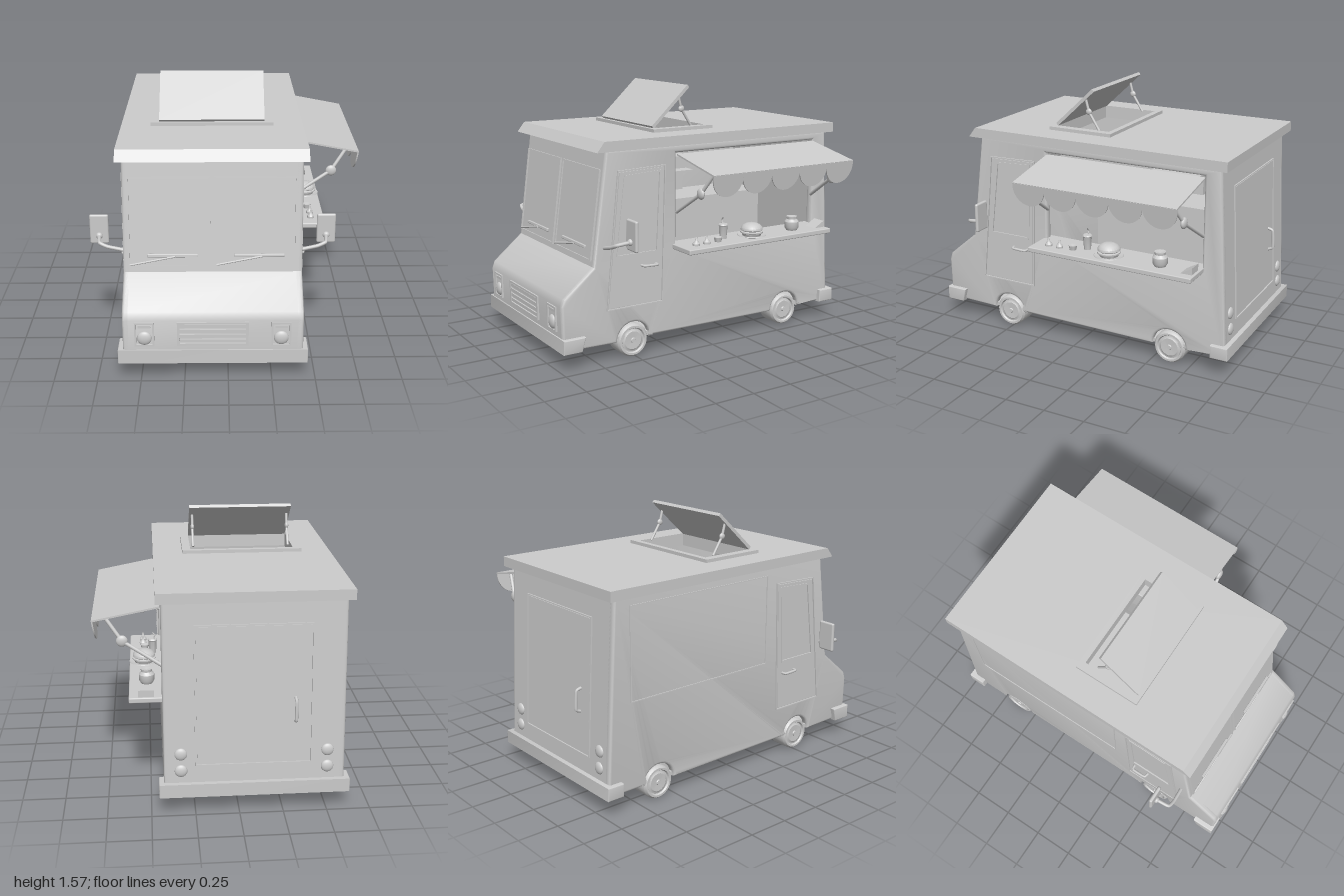
import * as THREE from 'three';
import { toCreasedNormals } from 'three/addons/utils/BufferGeometryUtils.js';
import { RoundedBoxGeometry } from 'three/addons/geometries/RoundedBoxGeometry.js';

const L = -0.6, R = 0.427, CX = (L + R) / 2, W = R - L;   // body sides
const mat = new THREE.MeshStandardMaterial({ color: 0xcccccc, side: THREE.DoubleSide });
const v3 = (p) => new THREE.Vector3(...p);

export function createModel() {
  const root = new THREE.Group();
  const add = (name, geo, pos = [0, 0, 0], parent = root) => {
    const m = new THREE.Mesh(geo, mat);
    m.name = name;
    m.position.set(...pos);
    parent.add(m);
    return m;
  };
  const box = (name, x0, x1, y0, y1, z0, z1, parent) =>
    add(name, new THREE.BoxGeometry(x1 - x0, y1 - y0, z1 - z0), [(x0 + x1) / 2, (y0 + y1) / 2, (z0 + z1) / 2], parent);
  const rounded = (name, x0, x1, y0, y1, z0, z1, r = 0.01, parent) =>
    add(name, new RoundedBoxGeometry(x1 - x0, y1 - y0, z1 - z0, 2, r), [(x0 + x1) / 2, (y0 + y1) / 2, (z0 + z1) / 2], parent);
  const rod = (name, a, b, r, parent) => {
    const d = v3(b).sub(v3(a));
    const m = add(name, new THREE.CylinderGeometry(r, r, d.length(), 12), v3(a).add(v3(b)).multiplyScalar(0.5).toArray(), parent);
    m.quaternion.setFromUnitVectors(new THREE.Vector3(0, 1, 0), d.normalize());
    return m;
  };
  const tube = (name, pts, r, parent) =>
    add(name, new THREE.TubeGeometry(new THREE.CatmullRomCurve3(pts.map(v3), false, 'catmullrom', 0.2), 24, r, 10), [0, 0, 0], parent);
  const ball = (name, r, pos, scale, parent) => add(name, new THREE.SphereGeometry(r, 20, 12), pos, parent).scale.set(...scale);
  const poly = (pts) => new THREE.Shape(pts.map((p) => new THREE.Vector2(...p)));
  const rect = (x0, x1, y0, y1) => [[x0, y0], [x1, y0], [x1, y1], [x0, y1]];
  const framed = (outer, inner) => {
    const s = poly(outer);
    s.holes.push(poly(inner));
    return s;
  };
  // Extrudes a (z, y) shape across the body, from xRight towards -x
  const across = (name, shape, xRight, depth, bevel = 0) => {
    const g = new THREE.ExtrudeGeometry(shape, {
      depth: depth - 2 * bevel, bevelEnabled: bevel > 0, bevelSize: bevel, bevelOffset: -bevel,
      bevelThickness: bevel, bevelSegments: 3, curveSegments: 20 });
    g.rotateY(-Math.PI / 2);
    return add(name, toCreasedNormals(g, 0.6), [xRight - bevel, 0, 0]);
  };
  const slab = (shape, depth) => new THREE.ExtrudeGeometry(shape, { depth, bevelEnabled: false });

  // Side walls with wheel arches; the right wall has the serving opening
  const wallShape = () => {
    const s = poly([[0.687, 1.25], [-0.915, 1.25], [-0.973, 0.115], [-0.725, 0.115]]);
    s.absarc(-0.615, 0.108, 0.11, Math.PI, 0, true);
    s.lineTo(0.405, 0.115);
    s.absarc(0.515, 0.108, 0.11, Math.PI, 0, true);
    [[0.975, 0.115], [0.981, 0.38], [0.965, 0.425], [0.775, 0.585]].forEach((p) => s.lineTo(...p));
    return s;
  };
  const serving = wallShape();
  serving.holes.push(poly(rect(-0.815, 0.22, 0.645, 1.2)));
  across('rightWall', serving, R, 0.05, 0.016);
  across('leftWall', wallShape(), L + 0.05, 0.05, 0.016);

  // Front, floor and back in one folded shell
  across('bodyShell', poly([[0.687, 1.25], [0.775, 0.585], [0.965, 0.425], [0.981, 0.38], [0.975, 0.115], [-0.973, 0.115],
    [-0.915, 1.25], [-0.885, 1.25], [-0.94, 0.14], [0.945, 0.14], [0.945, 0.39], [0.745, 0.565], [0.655, 1.25]]), R - 0.016, W - 0.032);

  // Roof with hatch opening and sloped front lip
  const plan = slab(framed(rect(-0.63, 0.455, -0.71, 0.958), rect(-0.405, 0.225, -0.255, 0.105)), 0.06);
  add('roof', plan.rotateX(-Math.PI / 2), [0, 1.245, 0]);
  across('roofLip', poly([[0.71, 1.245], [0.757, 1.245], [0.71, 1.305]]), 0.455, 1.085);
  const curb = slab(framed(rect(-0.455, 0.275, -0.28, 0.14), rect(-0.405, 0.225, -0.255, 0.105)), 0.022);
  add('hatchFrame', curb.rotateX(-Math.PI / 2), [0, 1.303, 0]);
  const lid = add('hatchLid', new THREE.BoxGeometry(0.628, 0.02, 0.345).translate(0, 0, -0.1725), [-0.09, 1.33, 0.257]);
  lid.rotation.x = 0.75;
  for (const x of [-0.385, 0.205]) {
    rod('hatchStrut', [x, 1.32, -0.027], [x, 1.428, 0.043], 0.008);
    rod('hatchStrut', [x, 1.428, 0.043], [x, 1.505, 0.064], 0.008);
    ball('hatchJoint', 0.02, [x, 1.428, 0.043], [0.6, 1, 1]);
  }

  // Windscreens and wipers lie on the sloped front
  const screen = new THREE.Group();
  screen.name = 'windscreen';
  screen.position.set(0, 0.585, 0.775);
  screen.rotation.x = -0.132;
  root.add(screen);
  for (const [x0, x1] of [[-0.57, -0.1], [-0.075, 0.393]]) {
    add('windscreenFrame', slab(framed(rect(x0, x1, 0.03, 0.56), rect(x0 + 0.01, x1 - 0.01, 0.04, 0.55)), 0.016), [0, 0, -0.004], screen);
    box('windscreenGlass', x0 + 0.01, x1 - 0.01, 0.04, 0.55, -0.006, 0.004, screen);
    rod('wiperArm', [x0 + 0.01, 0.045, 0.012], [x0 + 0.27, 0.098, 0.022], 0.006, screen);
    rounded('wiperBlade', x0 + 0.11, x0 + 0.4, 0.093, 0.112, 0.006, 0.022, 0.004, screen);
  }

  // Grille and headlights
  add('grilleFrame', slab(framed(rect(-0.29, 0.115, 0.225, 0.372), rect(-0.275, 0.1, 0.238, 0.36)), 0.018), [0, 0, 0.972]);
  for (let i = 0; i < 4; i++) box('grilleSlat', -0.277, 0.102, 0.243 + i * 0.031, 0.263 + i * 0.031, 0.97, 0.987);
  for (const x of [-0.475, 0.3]) {
    add('headlightFrame', slab(framed(rect(x - 0.056, x + 0.056, 0.222, 0.37), rect(x - 0.046, x + 0.046, 0.23, 0.36)), 0.018), [0, 0, 0.972]);
    ball('headlight', 0.042, [x, 0.27, 0.98], [1, 1, 0.45]);
    box('indicator', x - 0.035, x + 0.035, 0.335, 0.35, 0.97, 0.986);
  }

  // Bumpers
  across('frontBumper', poly([[0.985, 0.108], [0.985, 0.193], [0.845, 0.193], [0.868, 0.108]]), 0.455, 1.085, 0.006);
  across('rearBumper', poly([[-0.89, 0.113], [-0.89, 0.193], [-0.998, 0.193], [-0.998, 0.113]]), 0.455, 1.085, 0.006);

  // Wheels on two axles
  const tyre = [[0.072, 0.06], [0.078, 0.07], [0.09, 0.07], [0.1, 0.055], [0.1, -0.055], [0.09, -0.07], [0.05, -0.07], [0, -0.07]];
  const hub = [[0, 0.07], [0.012, 0.07], [0.016, 0.063], [0.055, 0.065], [0.066, 0.058], [0.075, 0.058]];
  const spun = (pts) => toCreasedNormals(new THREE.LatheGeometry(pts.map((p) => new THREE.Vector2(...p)), 32).rotateZ(-Math.PI / 2), 0.6);
  for (const z of [0.515, -0.615]) {
    for (const s of [-1, 1]) {
      const wheel = new THREE.Group();
      wheel.name = 'wheel';
      wheel.position.set(CX + s * 0.438, 0.102, z);
      if (s < 0) wheel.rotation.y = Math.PI;
      root.add(wheel);
      add('tyre', spun(tyre), [0, 0, 0], wheel);
      add('hubcap', spun(hub), [0, 0, 0], wheel);
      rod('axleHub', [-0.105, 0, 0], [-0.06, 0, 0], 0.05, wheel);
    }
    rod('axle', [L + 0.12, 0.1, z], [R - 0.12, 0.1, z], 0.024);
  }

  // Cab doors, door handles and mirrors on both sides
  const doorEdge = [[0.697, 0.316], [0.32, 0.316], [0.297, 1.14], [0.617, 1.13]];
  const doorGlass = [[0.632, 0.625], [0.35, 0.625], [0.328, 1.112], [0.576, 1.1]];
  const inset = (pts, k) => pts.map(([z, y]) => [z + (z > 0.48 ? -k : k), y + (y > 0.8 ? -k : k)]);
  for (const s of [1, -1]) {
    const wall = s > 0 ? R : L;
    const panel = (name, shape, out) => across(name, shape, s > 0 ? wall + out : wall + 0.01, out + 0.01);
    panel('doorSeam', framed(doorEdge, inset(doorEdge, 0.006)), 0.009);
    panel('door', framed(inset(doorEdge, 0.012), doorGlass), 0.006);
    panel('doorWindowTrim', framed(doorGlass, inset(doorGlass, 0.012)), 0.01);
    panel('doorGlass', poly(inset(doorGlass, 0.01)), 0.002);
    tube('doorHandle', [[wall, 0.558, 0.465], [wall + s * 0.033, 0.558, 0.455], [wall + s * 0.033, 0.555, 0.37], [wall, 0.555, 0.365]], 0.008);
    const mx = CX + s * 0.661;
    rounded('mirror', mx - 0.055, mx + 0.055, 0.692, 0.872, 0.594, 0.616, 0.01);
    tube('mirrorArm', [[wall - s * 0.01, 0.69, 0.705], [wall + s * 0.09, 0.715, 0.71], [mx - s * 0.01, 0.735, 0.7], [mx, 0.745, 0.61]], 0.011);
    ball('mirrorMount', 0.02, [mx, 0.745, 0.62], [1, 1, 0.8]);
  }

  // Closed panel on the left wall
  across('leftPanelSeam', framed(rect(-0.815, 0.22, 0.645, 1.2), rect(-0.809, 0.214, 0.651, 1.194)), L + 0.01, 0.015);

  // Rear door, handle and tail lights follow the sloped back
  const rear = new THREE.Group();
  rear.name = 'rear';
  rear.position.set(0, 0.115, -0.973);
  rear.rotation.x = 0.051;
  root.add(rear);
  add('rearDoorSeam', slab(framed(rect(-0.41, 0.25, 0.18, 1.0), rect(-0.404, 0.244, 0.186, 0.994)), 0.015), [0, 0, -0.009], rear);
  box('rearDoor', -0.398, 0.238, 0.192, 0.988, -0.005, 0.01, rear);
  tube('rearHandle', [[-0.315, 0.43, 0], [-0.315, 0.445, -0.035], [-0.315, 0.555, -0.035], [-0.315, 0.57, 0]], 0.009, rear);
  for (const x of [-0.5, 0.33]) for (const y of [0.15, 0.25]) ball('tailLight', 0.036, [x, y, 0], [1, 1, 0.45], rear);

  // Awning with scalloped valance and folding arms
  const canopy = add('awning', new THREE.BoxGeometry(0.388, 0.01, 1.03), [0.612, 1.151, -0.303]);
  canopy.rotation.z = -0.192;
  const scallops = poly([[-0.818, 0], [-0.818, -0.025]]);
  for (let i = 0; i < 5; i++) scallops.absellipse(-0.715 + i * 0.206, -0.025, 0.103, 0.107, Math.PI, 2 * Math.PI, false);
  scallops.lineTo(0.212, 0);
  const valance = across('valance', scallops, 0.804, 0.008);
  valance.position.y = 1.116;
  valance.rotation.z = -0.15;
  for (const s of [1, -1]) {
    const at = (d) => -0.3 + s * d;
    rod('awningArm', [0.42, 0.845, at(0.515)], [0.64, 0.987, at(0.49)], 0.011);
    rod('awningArm', [0.64, 0.987, at(0.49)], [0.735, 1.122, at(0.455)], 0.011);
    ball('awningJoint', 0.033, [0.64, 0.987, at(0.49)], [1, 1, 0.5]);
  }

  // Serving counter and the food on it
  rounded('counter', 0.36, 0.613, 0.624, 0.655, -0.825, 0.245, 0.006);
  const turned = (name, pts, x, z) =>
    add(name, toCreasedNormals(new THREE.LatheGeometry(pts.map((p) => new THREE.Vector2(...p)), 24), 0.6), [x, 0.655, z]);
  const bottle = [[0, 0], [0.022, 0], [0.022, 0.012], [0.008, 0.03], [0.005, 0.05], [0, 0.05]];
  turned('sauceBottle', bottle, 0.53, 0.145);
  turned('sauceBottle', bottle, 0.53, 0.07);
  turned('smallCup', [[0, 0], [0.02, 0], [0.026, 0.028], [0.022, 0.028], [0, 0.018]], 0.52, -0.018);
  turned('drinkCup', [[0, 0], [0.021, 0], [0.027, 0.08], [0.03, 0.084], [0.025, 0.092], [0, 0.092]], 0.47, -0.09);
  tube('straw', [[0.465, 0.74, -0.09], [0.455, 0.77, -0.09], [0.47, 0.785, -0.09]], 0.004);
  turned('plate', [[0, 0], [0.05, 0], [0.09, 0.012], [0.088, 0.016], [0.05, 0.008], [0, 0.008]], 0.525, -0.265);
  turned('burger', [[0, 0.008], [0.055, 0.008], [0.062, 0.025], [0.07, 0.028], [0.07, 0.036], [0.06, 0.04], [0.068, 0.046],
    [0.066, 0.06], [0.052, 0.076], [0.03, 0.086], [0, 0.089]], 0.525, -0.265);
  turned('jar', [[0, 0], [0.034, 0], [0.045, 0.02], [0.045, 0.055], [0.032, 0.072], [0.034, 0.088], [0.026, 0.088], [0, 0.078]], 0.51, -0.59);
  across('napkinStand', poly([[-0.74, 0.655], [-0.81, 0.655], [-0.81, 0.695]]), 0.56, 0.09);

  // Kitchen seen through the opening
  box('backCounter', L + 0.04, -0.22, 0.14, 0.77, -0.88, 0.22);
  box('wallCabinet', L + 0.04, -0.42, 0.935, 1.02, -0.435, -0.09);
  box('wallShelf', L + 0.04, -0.38, 0.91, 0.925, -0.435, -0.09);
  box('cooker', L + 0.04, -0.5, 0.77, 0.91, -0.425, -0.1);

  return root;
}
